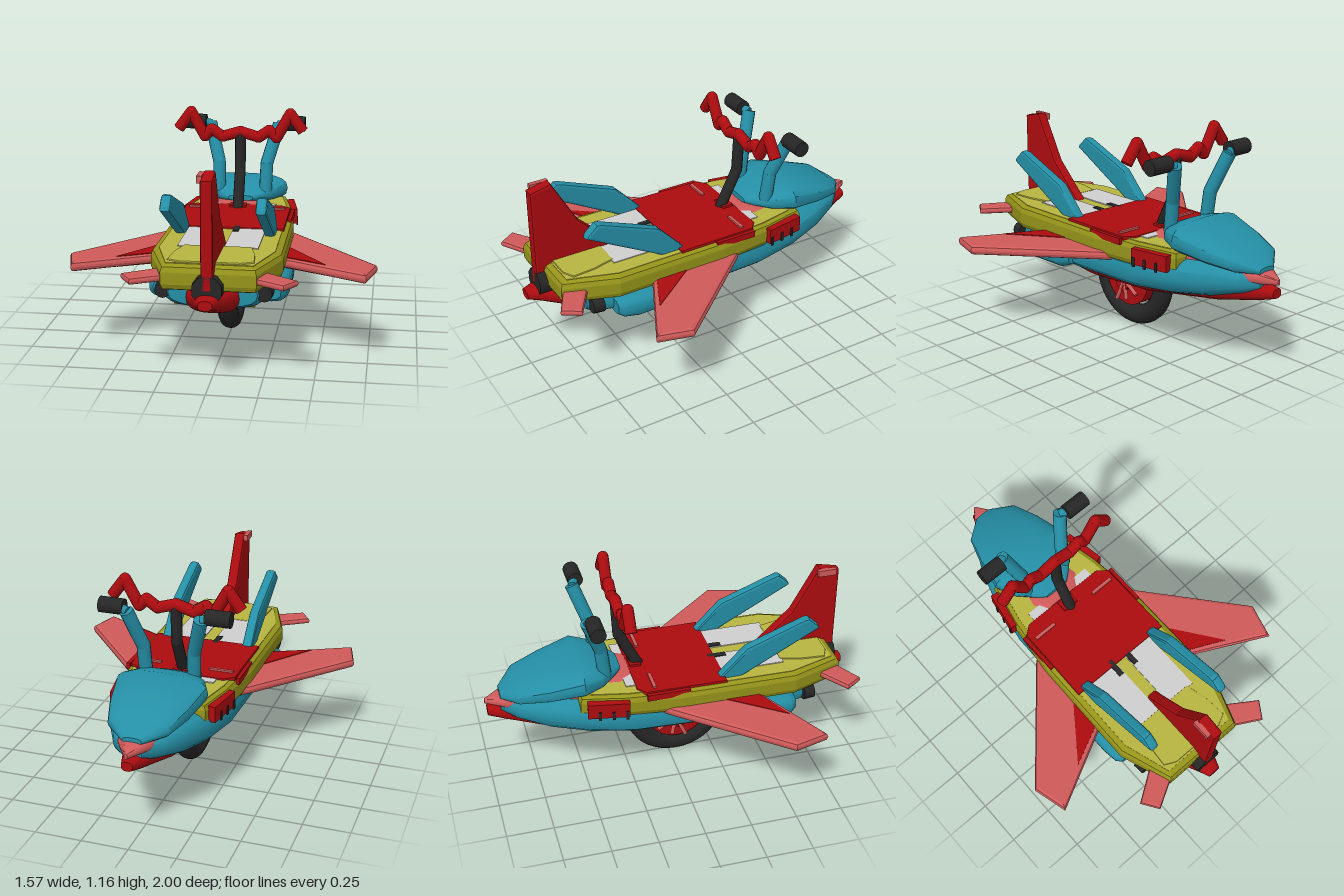
import * as THREE from 'three';
import { toCreasedNormals } from 'three/addons/utils/BufferGeometryUtils.js';

const mat = (name, color) => {
  const m = new THREE.MeshStandardMaterial({ color });
  m.name = name;
  return m;
};

export function createModel() {
  const root = new THREE.Group();
  root.name = 'flyingUnicycle';
  const red = mat('red', 0xac0c0f), blue = mat('teal', 0x258fa6), pink = mat('pink', 0xd05a5a);
  const olive = mat('olive', 0x96941a), yellow = mat('pale olive', 0xb8b640);
  const gray = mat('light gray', 0xcfcfcf), black = mat('black', 0x262626);

  const add = (name, geo, material, x = 0, y = 0, z = 0) => {
    const m = new THREE.Mesh(geo, material);
    m.name = name;
    m.position.set(x, y, z);
    root.add(m);
    return m;
  };
  const box = (name, w, h, d, material, x, y, z) => add(name, new THREE.BoxGeometry(w, h, d), material, x, y, z);
  const extrude = (pts, depth, bevel) => new THREE.ExtrudeGeometry(
    new THREE.Shape(pts.map(p => new THREE.Vector2(p[0], p[1]))), {
      depth: depth - 2 * bevel, bevelEnabled: bevel > 0, bevelThickness: bevel,
      bevelSize: bevel, bevelOffset: -bevel, bevelSegments: 2,
    }).translate(0, 0, bevel);
  // horizontal slab from an (x, z) outline
  const slab = (name, pts, y0, y1, bevel, material) =>
    add(name, extrude(pts, y1 - y0, bevel).rotateX(Math.PI / 2), material, 0, y1, 0);
  // upright slab from a (z, y) outline, centred on x
  const upright = (name, pts, x, thick, bevel, material) =>
    add(name, extrude(pts, thick, bevel).rotateY(-Math.PI / 2), material, x + thick / 2, 0, 0);
  const mirrorOutline = half => [...half, ...half.slice().reverse().map(([x, z]) => [-x, z])];

  // closed body through rounded sections [z, halfWidth, yBottom, yTop], z rising
  const loft = (name, stations, power, material, x = 0) => {
    const n = 20, pos = [], idx = [];
    const round = v => Math.sign(v) * Math.abs(v) ** power;
    for (const [z, w, y0, y1] of stations)
      for (let j = 0; j < n; j++) {
        const a = j / n * Math.PI * 2;
        pos.push(w * round(Math.cos(a)), (y0 + y1) / 2 + (y1 - y0) / 2 * round(Math.sin(a)), z);
      }
    const last = stations.length - 1;
    for (const s of [stations[0], stations[last]]) pos.push(0, (s[2] + s[3]) / 2, s[0]);
    const c0 = n * (last + 1);
    for (let j = 0; j < n; j++) {
      const k = (j + 1) % n;
      for (let i = 0; i < last; i++) {
        const a = i * n + j, b = i * n + k;
        idx.push(a, b, b + n, a, b + n, a + n);
      }
      idx.push(c0, k, j, c0 + 1, last * n + j, last * n + k);
    }
    const g = new THREE.BufferGeometry();
    g.setAttribute('position', new THREE.Float32BufferAttribute(pos, 3));
    g.setIndex(idx);
    return add(name, toCreasedNormals(g, 0.6), material, x);
  };

  // bent pipe: straight cylinders with ball joints
  const pipe = (name, pts, r, material) => {
    const v = pts.map(p => new THREE.Vector3(...p));
    for (let i = 0; i + 1 < v.length; i++) {
      const d = v[i + 1].clone().sub(v[i]);
      const m = add(name, new THREE.CylinderGeometry(r, r, d.length(), 12), material);
      m.position.copy(v[i]).addScaledVector(d, 0.5);
      m.quaternion.setFromUnitVectors(new THREE.Vector3(0, 1, 0), d.normalize());
      if (i) add(name + 'Joint', new THREE.SphereGeometry(r, 12, 8), material, ...pts[i]);
    }
  };

  // hull, keel, nose and cowl
  loft('keel', [[-0.99, 0.03, 0.43, 0.48], [-0.9, 0.06, 0.4, 0.49], [-0.68, 0.14, 0.35, 0.49],
    [-0.2, 0.2, 0.27, 0.47], [0.2, 0.21, 0.25, 0.47], [0.4, 0.2, 0.27, 0.47],
    [0.77, 0.13, 0.33, 0.48], [0.95, 0.055, 0.405, 0.48], [1, 0.035, 0.42, 0.47]], 0.8, red);
  loft('hull', [[-0.92, 0.05, 0.46, 0.54], [-0.84, 0.13, 0.43, 0.56], [-0.68, 0.21, 0.38, 0.58],
    [-0.48, 0.27, 0.345, 0.57], [-0.25, 0.3, 0.32, 0.55], [0.2, 0.3, 0.305, 0.53],
    [0.5, 0.29, 0.315, 0.52], [0.72, 0.25, 0.34, 0.5], [0.76, 0.22, 0.36, 0.49]], 0.75, blue);
  loft('nose', [[-1, 0.008, 0.5, 0.53], [-0.88, 0.09, 0.485, 0.565], [-0.5, 0.18, 0.5, 0.61],
    [-0.3, 0.16, 0.56, 0.625], [-0.23, 0.11, 0.59, 0.62]], 0.8, pink);
  loft('cowl', [[-0.92, 0.05, 0.54, 0.575], [-0.83, 0.16, 0.54, 0.64], [-0.68, 0.21, 0.55, 0.685],
    [-0.5, 0.245, 0.57, 0.735], [-0.4, 0.2, 0.59, 0.71], [-0.32, 0.12, 0.61, 0.675],
    [-0.28, 0.07, 0.625, 0.655]], 0.75, blue);

  // deck and its top panels
  slab('deck', mirrorOutline([[0.24, -0.53], [0.29, -0.3], [0.325, 0], [0.33, 0.62], [0.23, 0.9]]),
    0.475, 0.605, 0.035, olive);
  slab('deckTop', mirrorOutline([[0.22, -0.47], [0.26, -0.28], [0.285, 0], [0.29, 0.61], [0.21, 0.86]]),
    0.6, 0.608, 0, yellow);
  slab('rearFootplate', mirrorOutline([[0.17, 0.58], [0.2, 0.7], [0.21, 0.82], [0.15, 0.85]]),
    0.6, 0.616, 0.004, yellow);
  slab('saddleCloth', mirrorOutline([[0.24, -0.23], [0.29, -0.19], [0.295, 0.245]]), 0.59, 0.618, 0.004, red);
  box('stemBase', 0.09, 0.03, 0.06, red, 0, 0.615, -0.19);

  for (const s of [-1, 1]) {
    box('deckPanel', 0.17, 0.008, 0.87, gray, s * 0.117, 0.609, 0.155);
    box('seatPad', 0.03, 0.012, 0.1, black, s * 0.05, 0.612, 0.26);
    box('clothBar', 0.13, 0.012, 0.018, pink, s * 0.2, 0.622, -0.14);
    box('clothFlap', 0.02, 0.035, 0.23, red, s * 0.305, 0.594, -0.075);

    // side clasps with slots
    const yaw = s * 0.17;
    box('clasp', 0.05, 0.085, 0.22, red, s * 0.277, 0.543, -0.39).rotation.y = yaw;
    for (const z of [-0.3, -0.37, -0.44])
      box('claspSlot', 0.008, 0.05, 0.015, black, s * (0.304 + (z + 0.39) * 0.17), 0.515, z).rotation.y = yaw;

    // wings and tailplanes
    const flip = pts => pts.map(([x, z]) => [s * x, z]);
    slab('wing', flip([[0.25, -0.14], [0.33, -0.07], [0.785, 0.46], [0.735, 0.645], [0.34, 0.445], [0.25, 0.4]]),
      0.465, 0.515, 0.02, pink);
    slab('wingRoot', flip([[0.28, 0.17], [0.33, 0.24], [0.53, 0.51], [0.34, 0.42], [0.28, 0.38]]),
      0.461, 0.519, 0, red);
    slab('tailplane', flip([[0.15, 0.72], [0.26, 0.77], [0.425, 0.88], [0.365, 0.97], [0.22, 0.89], [0.15, 0.85]]),
      0.52, 0.555, 0.014, pink);

    // side pods and rear struts
    loft('sidePod', [[0.22, 0.05, 0.36, 0.44], [0.28, 0.085, 0.335, 0.465], [0.52, 0.085, 0.33, 0.465],
      [0.6, 0.075, 0.345, 0.46], [0.63, 0.05, 0.365, 0.44]], 0.75, blue, s * 0.27);
    add('podNozzle', new THREE.CylinderGeometry(0.04, 0.045, 0.06, 12).rotateX(Math.PI / 2), black,
      s * 0.25, 0.43, 0.72);
    upright('rearStrut', [[0.65, 0.48], [0.78, 0.48], [0.72, 0.37], [0.7, 0.345]], s * 0.18, 0.045, 0.006, olive);

    // angled rear stabilisers
    upright('stabiliser', [[0.2, 0.6], [0.33, 0.595], [0.76, 0.83], [0.75, 0.85], [0.7, 0.895], [0.68, 0.895],
      [0.36, 0.77]], s * 0.232, 0.055, 0.015, blue);

    // control levers with grips
    pipe('lever', [[s * 0.13, 0.66, -0.375], [s * 0.135, 0.82, -0.395], [s * 0.195, 1.03, -0.47]], 0.036, blue);
    add('grip', new THREE.CylinderGeometry(0.042, 0.042, 0.13, 14).rotateZ(Math.PI / 2), black,
      s * 0.28, 1.04, -0.445);
    pipe('leverCrossbar', [[s * 0.19, 1.025, -0.465], [s * 0.26, 1.04, -0.445]], 0.025, blue);

    // wheel hub face: bolt cap and fanned spokes
    for (const [z, y] of [[0.075, 0.155], [-0.08, 0.215], [0, 0.17]])
      pipe('spoke', [[s * 0.09, 0.275, 0.02], [s * 0.098, y, z]], 0.011, pink);
    add('hubCap', new THREE.CylinderGeometry(0.05, 0.05, 0.03, 16).rotateZ(Math.PI / 2), red,
      s * 0.085, 0.26, 0.035);
  }

  // tail fin, its light and the rear thruster
  upright('tailFin', [[0.945, 0.5], [0.945, 1.03], [0.83, 1.055], [0.69, 0.8], [0.48, 0.6], [0.48, 0.55]],
    0, 0.06, 0.012, red);
  box('finLight', 0.025, 0.035, 0.1, pink, -0.037, 1.03, 0.87);
  add('thruster', new THREE.CylinderGeometry(0.075, 0.08, 0.09, 10).rotateX(Math.PI / 2), black, 0, 0.5, 0.9);

  // steering stem and zigzag handlebar
  pipe('stem', [[0, 0.6, -0.165], [0, 0.81, -0.27], [0, 1.01, -0.28]], 0.03, black);
  const half = [[0.345, 1.03], [0.275, 1.125], [0.2, 0.99], [0.16, 1.03], [0.1, 0.99]];
  pipe('handlebar', [...half.map(([x, y]) => [-x, y, -0.28]), [0, 1.02, -0.28],
    ...half.slice().reverse().map(([x, y]) => [x, y, -0.28])], 0.031, red);

  // wheel
  add('tyre', new THREE.TorusGeometry(0.23, 0.055, 14, 40).rotateY(Math.PI / 2), black, 0, 0.285, 0.04);
  add('wheelDisc', new THREE.CylinderGeometry(0.165, 0.165, 0.11, 32).rotateZ(Math.PI / 2), red, 0, 0.285, 0.04);

  return root;
}
